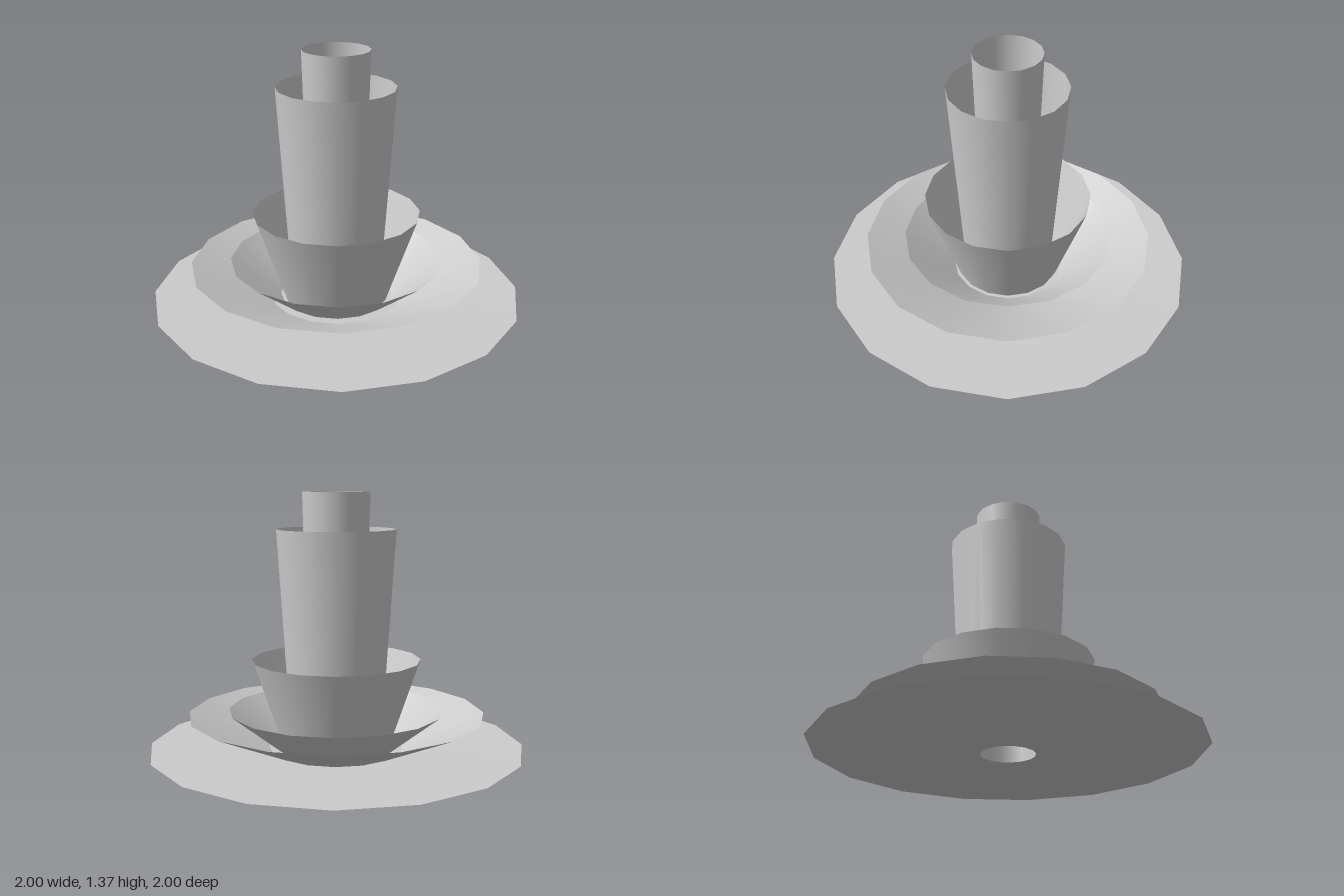
import * as THREE from 'three';

const SIDES = 16;
const HOLE = 0.14;

// Height of the shallow base dish at a given radius
const baseHeight = (r) => 0.02 * (r - HOLE) / (1 - HOLE);

export function createModel() {
  const group = new THREE.Group();
  const material = new THREE.MeshStandardMaterial({ color: 0xcccccc, side: THREE.DoubleSide });

  // Nested open flared shells, all resting on the base: [name, bottom radius, top radius, top height]
  const shells = [
    ['baseDish', HOLE, 1.0, 0.02],
    ['outerBowl', 0.36, 0.79, 0.197],
    ['innerBowl', 0.305, 0.575, 0.217],
    ['cup', 0.285, 0.45, 0.487],
    ['outerTube', 0.24, 0.315, 1.177],
    ['innerTube', HOLE, 0.178, 1.37],
  ];

  for (const [name, bottomRadius, topRadius, top] of shells) {
    const bottom = baseHeight(bottomRadius);
    const geometry = new THREE.CylinderGeometry(topRadius, bottomRadius, top - bottom, SIDES, 1, true);
    geometry.translate(0, (top + bottom) / 2, 0);
    const mesh = new THREE.Mesh(geometry, material);
    mesh.name = name;
    group.add(mesh);
  }
  return group;
}
